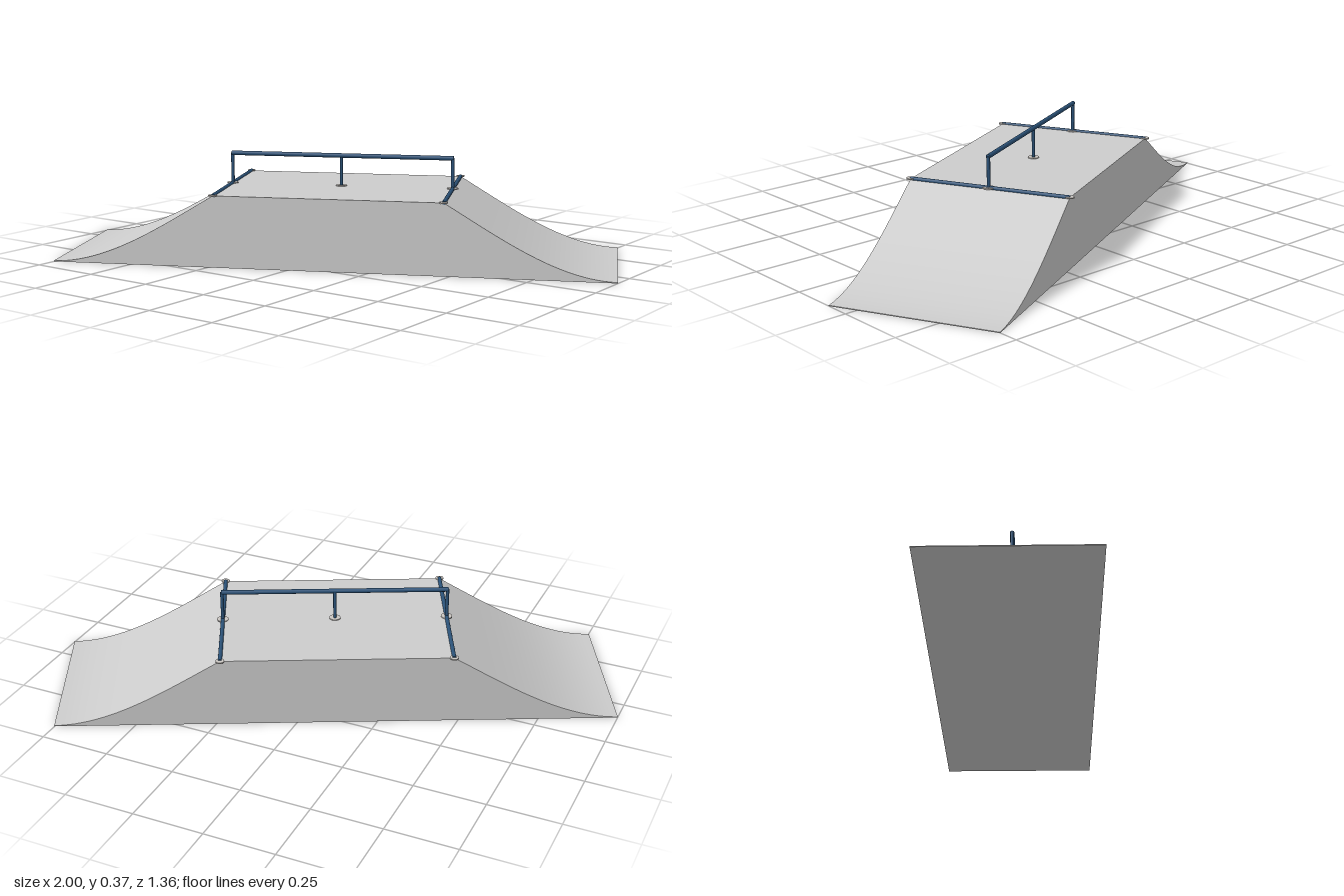
import * as THREE from 'three';
import { toCreasedNormals } from 'three/addons/utils/BufferGeometryUtils.js';

const HALF_LENGTH = 0.972, HALF_WIDTH = 0.287, DECK = 0.395, HEIGHT = 0.25, LIP = 0.003;
const RAIL_Y = 0.358;

const concrete = new THREE.MeshStandardMaterial({ name: 'concrete grey', color: 0xcccccc });
const steel = new THREE.MeshStandardMaterial({ name: 'blue steel', color: 0x2b5278 });
const plate = new THREE.MeshStandardMaterial({ name: 'plate grey', color: 0xcac6c2 });

// Side profile: flat deck with a transition at each end, flat at the foot and nearly straight at the top
function rampGeometry() {
  const steps = 24;
  const right = [new THREE.Vector2(HALF_LENGTH, 0)];
  for (let i = 0; i <= steps; i++) {
    const t = i / steps;
    const rise = 1.6 * t * t - 0.6 * t * t * t;
    right.push(new THREE.Vector2(
      THREE.MathUtils.lerp(HALF_LENGTH, DECK, t),
      THREE.MathUtils.lerp(LIP, HEIGHT, rise),
    ));
  }
  const left = right.map((p) => new THREE.Vector2(-p.x, p.y)).reverse();
  const geometry = new THREE.ExtrudeGeometry(new THREE.Shape([...right, ...left]), {
    depth: HALF_WIDTH * 2, bevelEnabled: false,
  });
  geometry.translate(0, 0, -HALF_WIDTH);
  return toCreasedNormals(geometry, 0.3);
}

export function createModel() {
  const model = new THREE.Group();
  model.name = 'skateRamp';
  model.rotation.y = THREE.MathUtils.degToRad(25.7);

  function add(name, geometry, material, x = 0, y = 0, z = 0) {
    const mesh = new THREE.Mesh(geometry, material);
    mesh.name = name;
    mesh.position.set(x, y, z);
    model.add(mesh);
    return mesh;
  }
  const pipe = (radius, length) => new THREE.CylinderGeometry(radius, radius, length, 16);

  add('ramp', rampGeometry(), concrete);

  // Grind rail on three posts with round base plates
  add('railBar', pipe(0.008, DECK * 2 + 0.006), steel, 0, RAIL_Y, 0).rotation.z = Math.PI / 2;
  for (const x of [-DECK, 0, DECK]) {
    add('railPost', pipe(0.006, RAIL_Y - HEIGHT), steel, x, (RAIL_Y + HEIGHT) / 2, 0);
    add('postPlate', pipe(0.02, 0.004), plate, x, HEIGHT + 0.001, 0);
  }

  // Coping along both deck edges, with a plate at each end
  for (const x of [-DECK, DECK]) {
    add('coping', pipe(0.007, HALF_WIDTH * 2), steel, x, HEIGHT, 0).rotation.x = Math.PI / 2;
    for (const z of [-HALF_WIDTH, HALF_WIDTH]) {
      add('copingEndPlate', pipe(0.015, 0.004), plate, x, HEIGHT + 0.001, z);
    }
  }

  const group = new THREE.Group();
  group.name = 'rampWithRail';
  group.add(model);
  return group;
}
